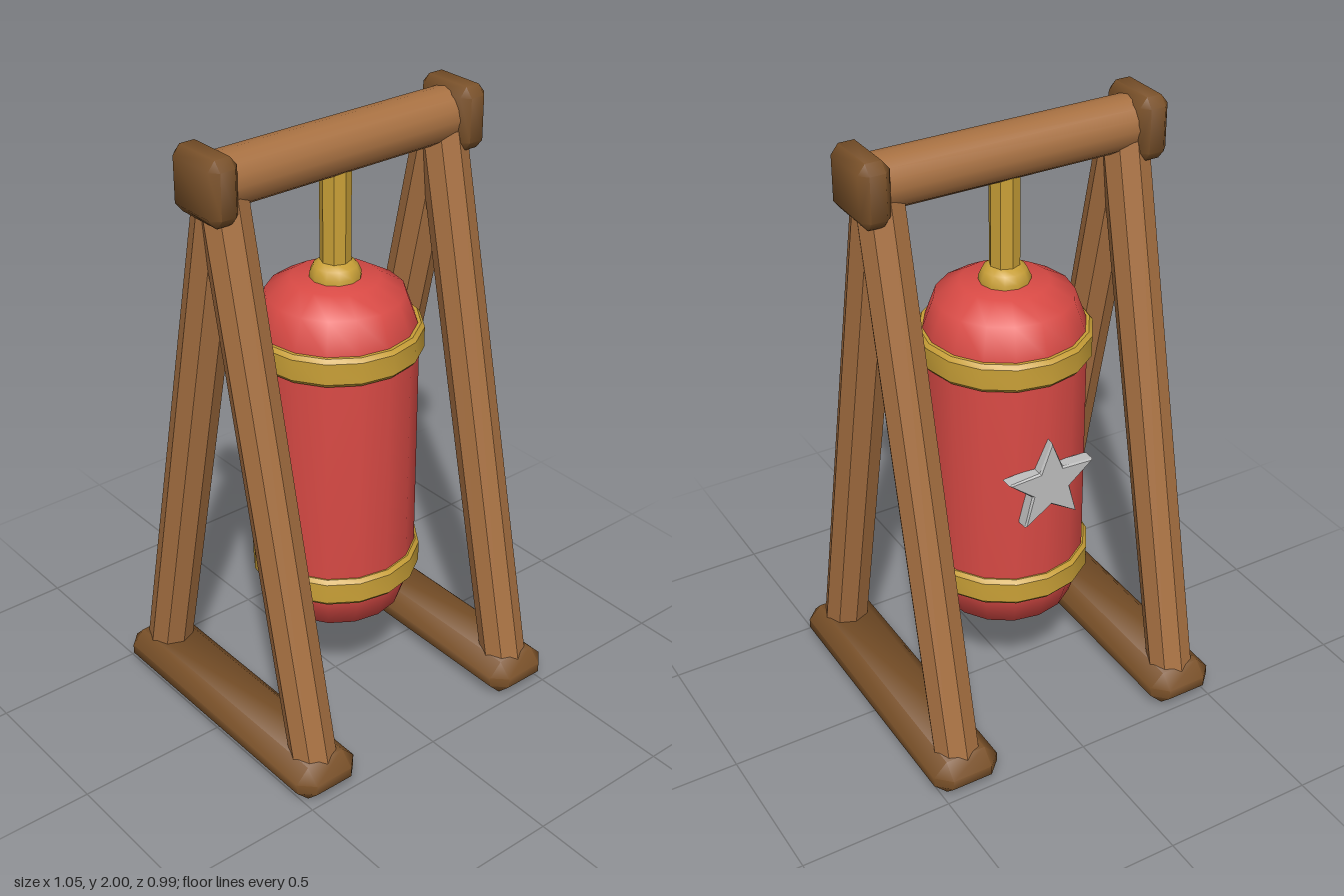
import * as THREE from 'three';
import { toCreasedNormals } from 'three/addons/utils/BufferGeometryUtils.js';
import { ConvexGeometry } from 'three/addons/geometries/ConvexGeometry.js';

const material = (name, color) => {
  const m = new THREE.MeshStandardMaterial({ color });
  m.name = name;
  return m;
};

// Box with chamfered edges: half sizes h and chamfers c along x, y, z
function chamferBox(h, c) {
  const points = [];
  for (const sx of [-1, 1]) for (const sy of [-1, 1]) for (const sz of [-1, 1]) {
    for (let full = 0; full < 3; full++) {
      const [x, y, z] = h.map((v, i) => (i === full ? v : v - c[i]));
      points.push(new THREE.Vector3(sx * x, sy * y, sz * z));
    }
  }
  return toCreasedNormals(new ConvexGeometry(points), 1.0);
}

// Turned shape from [radius, y] pairs, listed bottom to top
function lathe(profile, segments, crease) {
  const pts = profile.map(([r, y]) => new THREE.Vector2(r, y));
  return toCreasedNormals(new THREE.LatheGeometry(pts, segments), crease);
}

export function createModel() {
  const wood = material('wood', 0xa87142);
  const darkWood = material('dark wood', 0x7a5129);
  const red = material('red leather', 0xd94a45);
  const gold = material('gold', 0xc9a037);
  const silver = material('silver', 0xbfbfbf);

  const model = new THREE.Group();
  model.name = 'punchingBagStand';
  const add = (name, geometry, mat, x = 0, y = 0, z = 0) => {
    const mesh = new THREE.Mesh(geometry, mat);
    mesh.name = name;
    mesh.position.set(x, y, z);
    model.add(mesh);
    return mesh;
  };

  // A-frames: foot, two slanted octagonal legs and a cap on each side
  const footGeo = chamferBox([0.113, 0.0625, 0.497], [0.045, 0.046, 0.045]);
  const capGeo = chamferBox([0.049, 0.1, 0.107], [0.024, 0.03, 0.025]);
  const legBottom = new THREE.Vector3(0, 0.06, 0.4);
  const legTop = new THREE.Vector3(0, 1.85, 0.008);
  const legAxis = legTop.clone().sub(legBottom);
  const legGeo = new THREE.CylinderGeometry(0.075, 0.075, legAxis.length(), 8).toNonIndexed();
  legGeo.computeVertexNormals();
  for (const [side, s] of [['left', 1], ['right', -1]]) {
    add(side + 'Foot', footGeo, darkWood, s * 0.41, 0.0625, 0);
    add(side + 'Cap', capGeo, darkWood, s * 0.459, 1.9, 0);
    for (const [end, e] of [['Front', 1], ['Back', -1]]) {
      const leg = add(side + end + 'Leg', legGeo, wood, s * 0.41,
        (legBottom.y + legTop.y) / 2, e * (legBottom.z + legTop.z) / 2);
      leg.rotation.x = e * Math.atan2(legAxis.z, legAxis.y);
    }
  }

  // Crossbeam
  const beam = add('crossbeam', new THREE.CylinderGeometry(0.085, 0.085, 0.86, 16), wood, 0, 1.9, 0);
  beam.rotation.z = Math.PI / 2;

  // Hanger rod and collar
  const rodGeo = new THREE.CylinderGeometry(0.048, 0.048, 0.38, 8).toNonIndexed();
  rodGeo.computeVertexNormals();
  add('hangerRod', rodGeo, gold, 0, 1.67, 0);
  add('hangerCollar', lathe([[0.08, 1.475], [0.08, 1.5], [0.068, 1.525], [0.048, 1.54], [0, 1.54]], 12, 0.9), gold);

  // Bag
  add('bag', lathe([
    [0, 0.288], [0.14, 0.302], [0.218, 0.35], [0.252, 0.455], [0.257, 0.55],
    [0.257, 1.24], [0.253, 1.335], [0.216, 1.438], [0.138, 1.484], [0, 1.491],
  ], 16, 0.9), red);

  // Bands around the bag
  for (const [name, y] of [['lowerBand', 0.503], ['upperBand', 1.292]]) {
    add(name, lathe([
      [0.245, -0.047], [0.262, -0.047], [0.273, -0.034],
      [0.273, 0.034], [0.262, 0.047], [0.245, 0.047],
    ], 16, 0.6), gold, 0, y, 0);
  }

  // Star badge on the back
  const star = new THREE.Shape();
  for (let i = 0; i < 10; i++) {
    const r = i % 2 ? 0.064 : 0.15;
    const a = Math.PI / 2 + (i * Math.PI) / 5;
    star[i ? 'lineTo' : 'moveTo'](r * Math.cos(a), r * Math.sin(a));
  }
  star.closePath();
  const starGeo = new THREE.ExtrudeGeometry(star, {
    depth: 0.035, bevelEnabled: true, bevelThickness: 0.007, bevelSize: 0.005, bevelSegments: 1,
  });
  add('starBadge', starGeo, silver, 0, 0.9, -0.277);

  return model;
}
